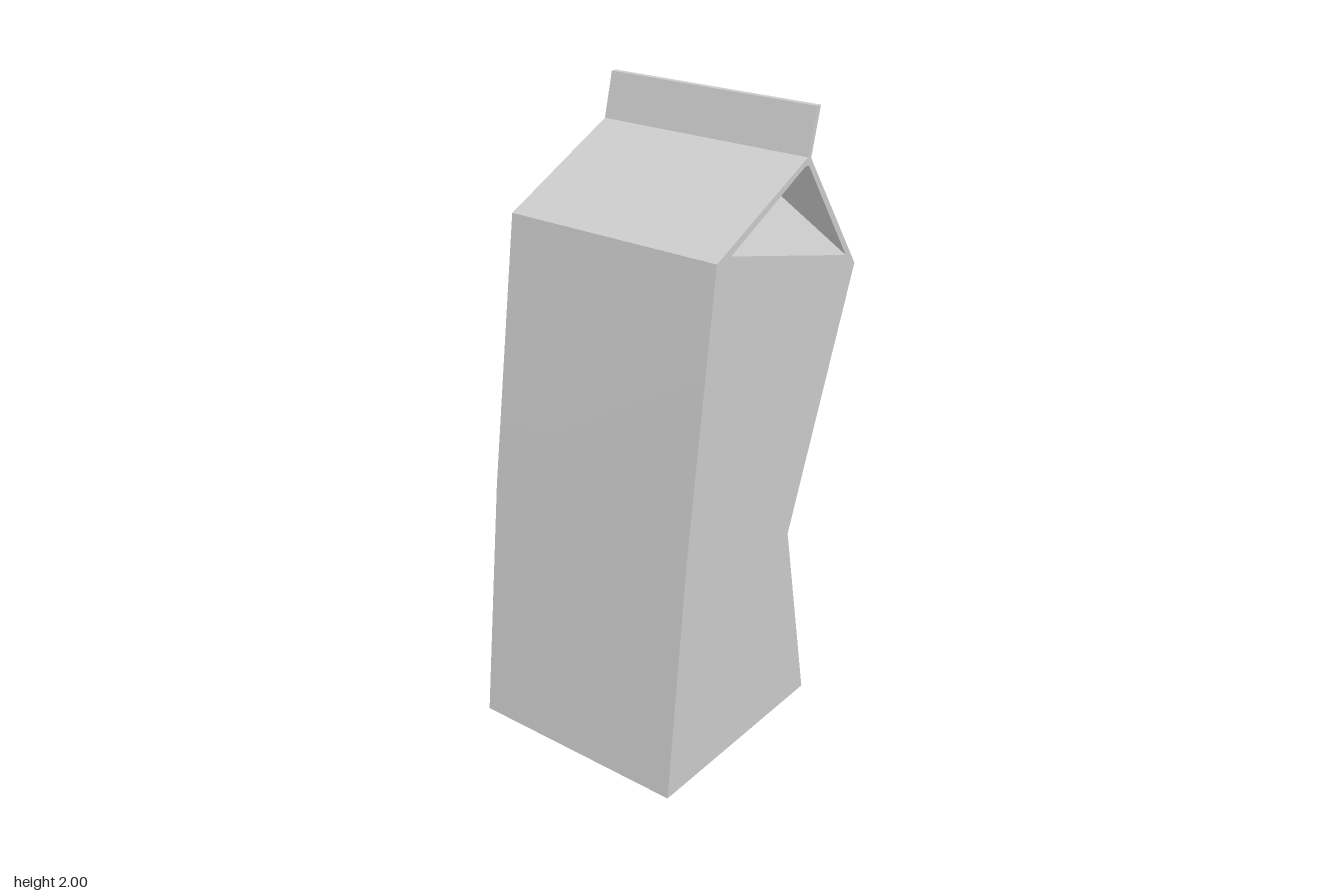
import * as THREE from 'three';
import { toCreasedNormals } from 'three/addons/utils/BufferGeometryUtils.js';

const HALF = 0.375;        // half width in z
const RECESS_DEPTH = 0.12; // how far the gable folds go in

const v2 = ([x, y]) => new THREE.Vector2(x, y);

// Carton outline, counter-clockwise, with the sealed fin on top
const profile = [
  [-0.47, 0], [0.275, 0], [0.15, 0.65], [0.47, 1.465], [0.195, 1.855],
  [0.235, 2], [0.215, 2], [0.178, 1.86], [-0.255, 1.66], [-0.38, 0.8],
].map(v2);

// Rim of the folded gable opening and the points it folds in to
const rim = [[-0.19, 1.665], [0.415, 1.505], [0.185, 1.835], [0.165, 1.835]].map(v2);
const innerLeft = v2([0.15, 1.757]), innerRight = v2([0.17, 1.757]);
const inner = [innerLeft, innerRight, innerRight, innerLeft];

// Collects triangles; each corner is [Vector2, z]
function triangleList() {
  const data = [];
  const tri = (...corners) => corners.forEach(([p, z]) => data.push(p.x, p.y, z));
  return {
    tri,
    quad(a, b, c, d) { tri(a, b, c); tri(a, c, d); },
    build() {
      const geometry = new THREE.BufferGeometry();
      geometry.setAttribute('position', new THREE.Float32BufferAttribute(data, 3));
      geometry.computeVertexNormals();
      return geometry;
    },
  };
}

// Walls, roof and fin swept across z, with a holed panel at each end
function bodyGeometry() {
  const list = triangleList();
  profile.forEach((p, i) => {
    const q = profile[(i + 1) % profile.length];
    list.quad([p, HALF], [p, -HALF], [q, -HALF], [q, HALF]);
  });
  const hole = [...rim].reverse();
  const points = [...profile, ...hole];
  for (const [a, b, c] of THREE.ShapeUtils.triangulateShape([...profile], [hole])) {
    list.tri([points[a], HALF], [points[b], HALF], [points[c], HALF]);
    list.tri([points[c], -HALF], [points[b], -HALF], [points[a], -HALF]);
  }
  return toCreasedNormals(list.build(), 0.7);
}

// Flat folded faces running from the rim to the inner points
function recessGeometry(side) {
  const list = triangleList();
  const zOut = side * HALF, zIn = side * (HALF - RECESS_DEPTH);
  rim.forEach((p, i) => {
    const j = (i + 1) % rim.length;
    const face = [[p, zOut], [rim[j], zOut], [inner[j], zIn]];
    if (inner[i] !== inner[j]) face.push([inner[i], zIn]);
    if (side < 0) face.reverse();
    if (face.length === 4) list.quad(...face);
    else list.tri(...face);
  });
  return list.build();
}

export function createModel() {
  const group = new THREE.Group();
  const material = new THREE.MeshStandardMaterial({ color: 0xcccccc });
  const add = (geometry, name) => {
    const mesh = new THREE.Mesh(geometry, material);
    mesh.name = name;
    group.add(mesh);
    return mesh;
  };

  add(bodyGeometry(), 'cartonBody');
  add(recessGeometry(1), 'frontGableRecess');
  add(recessGeometry(-1), 'backGableRecess');

  // Ten-sided open spout standing on the right roof panel
  const ring = [[0.062, -0.005], [0.079, -0.005], [0.079, 0.045], [0.062, 0.045], [0.062, -0.005]].map(v2);
  const spout = add(toCreasedNormals(new THREE.LatheGeometry(ring, 10, Math.PI / 2), 0.7), 'spout');
  const foot = profile[3], ridge = profile[4];
  spout.rotation.z = -Math.atan2(ridge.y - foot.y, foot.x - ridge.x);
  spout.position.set(0.343, 1.645, 0);

  return group;
}
